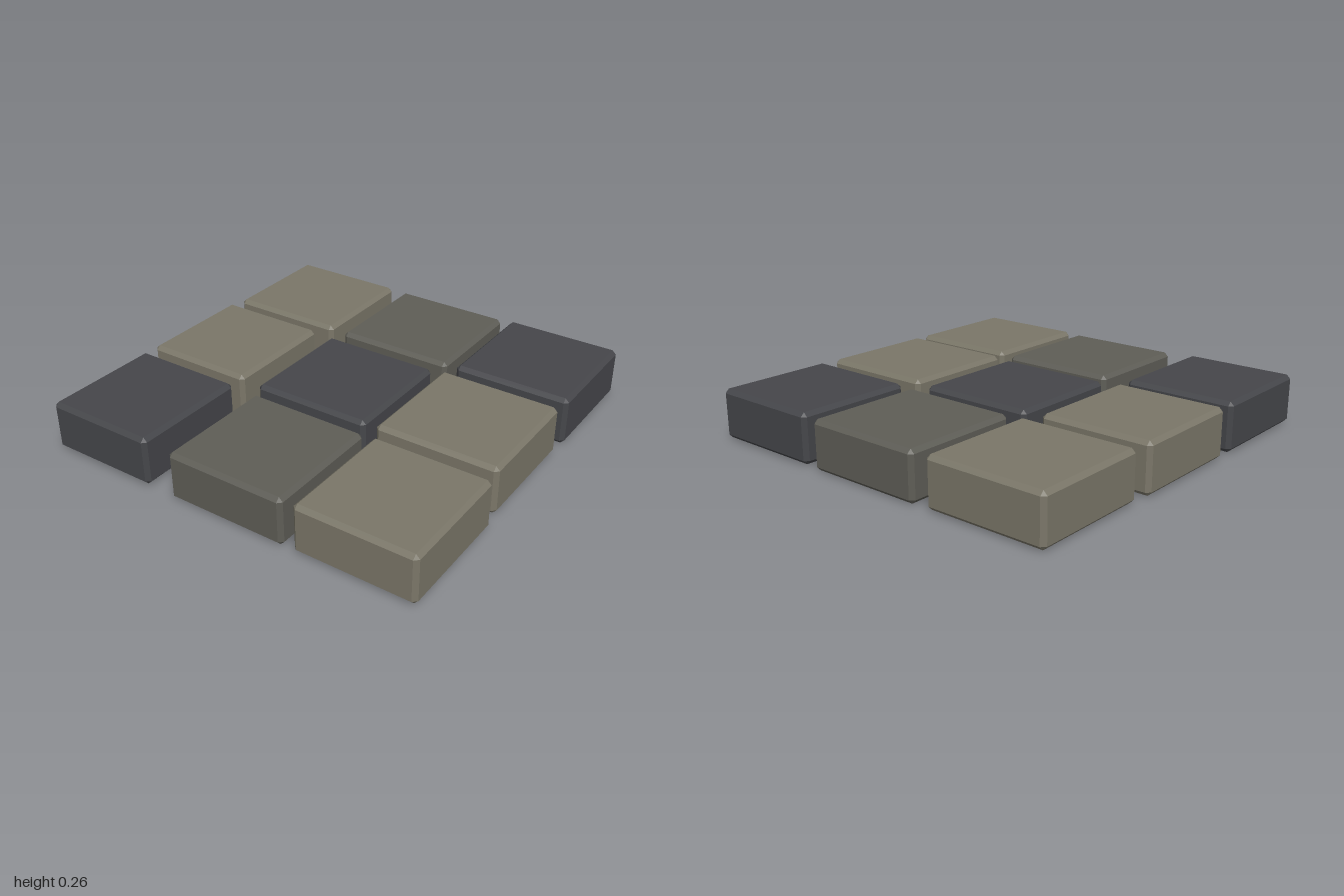
import * as THREE from 'three';
import { ConvexGeometry } from 'three/addons/geometries/ConvexGeometry.js';

// Box with all edges chamfered by b: three corner points at each of the eight corners
function chamferedBox(w, h, d, b) {
  const points = [];
  for (const sx of [-1, 1]) for (const sy of [-1, 1]) for (const sz of [-1, 1]) {
    const x = w / 2, y = h / 2, z = d / 2;
    points.push(
      new THREE.Vector3(sx * x, sy * (y - b), sz * (z - b)),
      new THREE.Vector3(sx * (x - b), sy * y, sz * (z - b)),
      new THREE.Vector3(sx * (x - b), sy * (y - b), sz * z)
    );
  }
  return new ConvexGeometry(points);
}

export function createModel() {
  const model = new THREE.Group();
  model.name = 'pavingStones';

  const makeMaterial = (color) =>
    new THREE.MeshStandardMaterial({ color, flatShading: true });
  const tan = makeMaterial(0x7a7668);
  const grey = makeMaterial(0x5e5d56);
  const dark = makeMaterial(0x45464a);

  // Rows from back to front; each stone: name, x start, x end, bottom, top, material
  const rows = [
    { name: 'back', z0: -1, z1: -0.38, stones: [
      ['Right', -0.985, -0.365, 0.005, 0.25, tan],
      ['Middle', -0.29, 0.335, 0, 0.245, grey],
      ['Left', 0.39, 0.995, 0.005, 0.255, dark]] },
    { name: 'centre', z0: -0.31, z1: 0.31, stones: [
      ['Right', -1, -0.415, 0.005, 0.255, tan],
      ['Middle', -0.32, 0.3, 0, 0.245, dark],
      ['Left', 0.36, 0.985, 0.01, 0.257, tan]] },
    { name: 'front', z0: 0.375, z1: 0.995, stones: [
      ['Right', -1, -0.415, 0.005, 0.255, dark],
      ['Middle', -0.28, 0.345, 0, 0.245, grey],
      ['Left', 0.4, 1, 0.005, 0.252, tan]] },
  ];

  for (const { name, z0, z1, stones } of rows) {
    for (const [side, x0, x1, y0, y1, material] of stones) {
      const stone = new THREE.Mesh(chamferedBox(x1 - x0, y1 - y0, z1 - z0, 0.02), material);
      stone.position.set((x0 + x1) / 2, (y0 + y1) / 2, (z0 + z1) / 2);
      stone.name = `${name}${side}Stone`;
      model.add(stone);
    }
  }
  return model;
}
